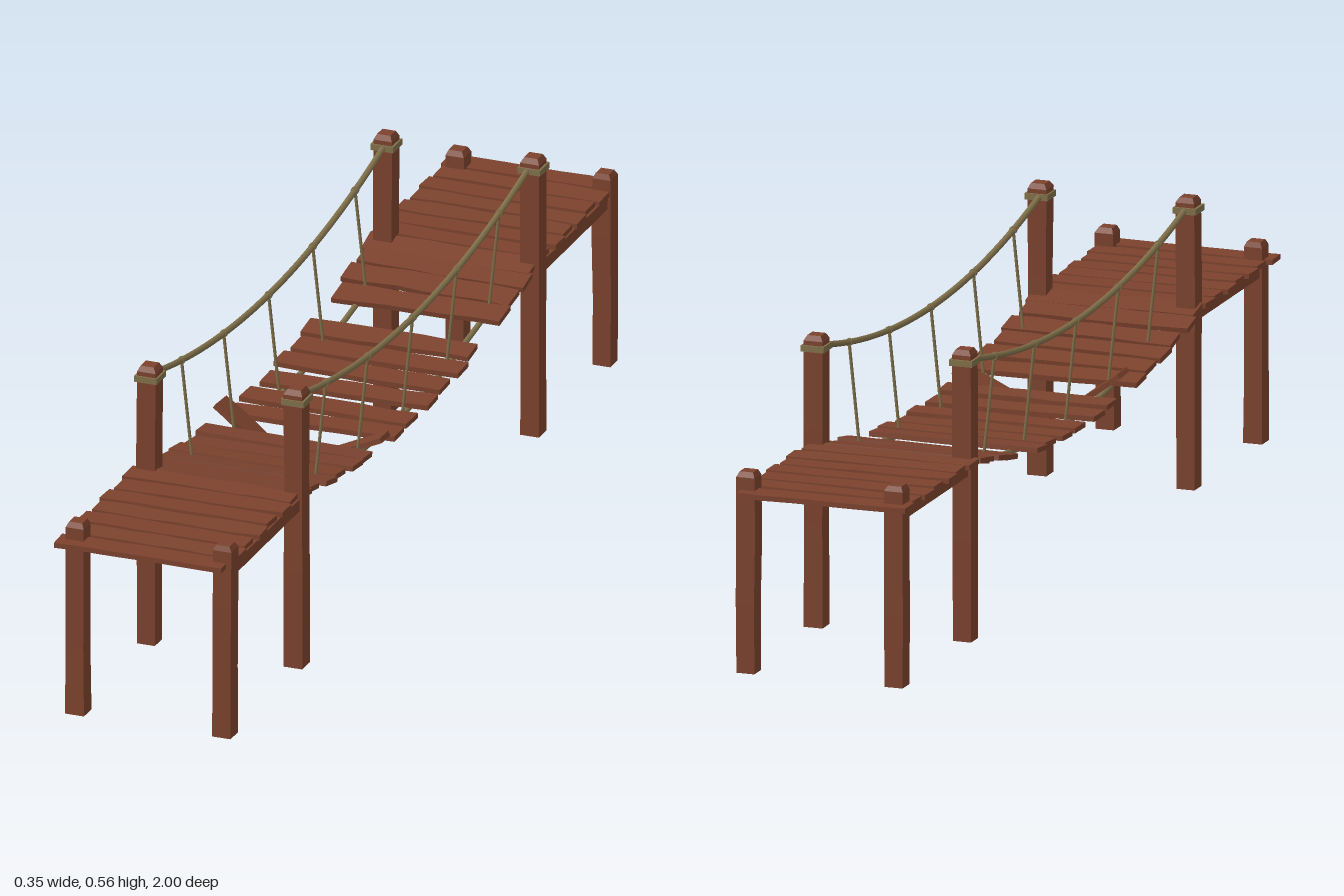
import * as THREE from 'three';

export function createModel() {
  const model = new THREE.Group();
  const wood = new THREE.MeshStandardMaterial({ color: 0x7b422d, flatShading: true });
  wood.name = 'reddish brown wood';
  const rope = new THREE.MeshStandardMaterial({ color: 0x80704a });
  rope.name = 'tan rope';

  let seed = 7;
  const rand = (a, b) => {
    seed = (seed * 16807) % 2147483647;
    return a + (b - a) * (seed / 2147483647);
  };

  const add = (name, geometry, material, x = 0, y = 0, z = 0, parent = model) => {
    const mesh = new THREE.Mesh(geometry, material);
    mesh.name = name;
    mesh.position.set(x, y, z);
    parent.add(mesh);
    return mesh;
  };

  // Rough-hewn square post with a bevelled top
  function post(name, x, z, height) {
    const levels = [0, height * 0.35, height * 0.68, height - 0.01, height];
    const g = new THREE.BoxGeometry(0.037, 4, 0.037, 1, 4, 1);
    const p = g.attributes.position;
    const offset = levels.map(() => [rand(-0.001, 0.001), rand(-0.001, 0.001), rand(0.96, 1.04)]);
    offset[4] = [0, 0, 0.72];
    for (let i = 0; i < p.count; i++) {
      const k = Math.round(p.getY(i) + 2);
      const [dx, dz, s] = offset[k];
      p.setXYZ(i, p.getX(i) * s + dx, levels[k], p.getZ(i) * s + dz);
    }
    g.computeVertexNormals();
    add(name, g, wood, x, 0, z);
  }

  // Flat board with uneven long edges and slightly skewed ends
  const THICK = 0.01;
  function plankGeometry(x0, x1, width, jagged = 0) {
    const near = [], far = [];
    const steps = 6;
    for (let i = 0; i <= steps; i++) {
      const x = x0 + ((x1 - x0) * i) / steps;
      near.push(new THREE.Vector2(x, -width / 2 + rand(-0.003, 0.003)));
      far.push(new THREE.Vector2(x + (i % steps ? 0 : rand(-0.002, 0.002)), width / 2 + rand(-0.003, 0.003)));
    }
    const outline = [...near];
    // Splintered end on broken boards
    if (jagged > 0) outline.push(new THREE.Vector2(x1 - 0.012, -0.006), new THREE.Vector2(x1 + 0.004, 0.008));
    outline.push(...far.reverse());
    if (jagged < 0) outline.push(new THREE.Vector2(x0 + 0.012, 0.008), new THREE.Vector2(x0 - 0.004, -0.006));
    const g = new THREE.ExtrudeGeometry(new THREE.Shape(outline), { depth: THICK, bevelEnabled: false });
    g.translate(0, 0, -THICK / 2);
    g.rotateX(-Math.PI / 2);
    return g;
  }

  // Alternating boards overhang one side, then the other
  const ends = (i) => (i % 2 ? [-0.17, 0.168] : [-0.177, 0.161]);

  const POST_X = [-0.145, 0.152];
  const TOWER_Z = 0.595;
  const sag = (z, low, high) => low + (high - low) * (z / TOWER_Z) ** 2;
  const deckY = (z) => sag(z, 0.278, 0.35);
  const floorRopeY = (z) => sag(z, 0.269, 0.343);
  const handRopeY = (z) => sag(z, 0.47, 0.545);

  // End platforms
  for (const end of [-1, 1]) {
    for (const x of POST_X) {
      post('tallPost', x, end * TOWER_Z, 0.565);
      post('shortPost', x, end * 0.955, 0.39);
      add('platformBeam', new THREE.BoxGeometry(0.026, 0.024, 0.37), wood, x, 0.334, end * 0.775);
      // Rope lashing: two stacked square coils around the post
      for (const y of [0.5375, 0.5435]) {
        add('ropeLashing', new THREE.BoxGeometry(0.046, 0.006, 0.046), rope, x, y, end * TOWER_Z);
      }
    }
    for (let i = 0; i < 7; i++) {
      const z = end * (0.974 - i * 0.0575);
      const board = add('platformPlank', plankGeometry(...ends(i), 0.048), wood, 0, 0.351, z);
      board.rotation.y = i ? rand(-0.012, 0.012) : 0;
      board.rotation.x = rand(-0.03, 0.03);
      board.rotation.z = rand(-0.006, 0.006);
    }
  }

  // Hanging deck, with a missing board toward the back
  const deckZ = [-0.575, -0.53, -0.473, -0.408, -0.27, -0.2, -0.13, -0.05,
    0.04, 0.12, 0.26, 0.33, 0.395, 0.46, 0.528, 0.58];
  deckZ.forEach((z, i) => {
    const board = add('deckPlank', plankGeometry(...ends(i), 0.054), wood, 0, deckY(z), z);
    const slope = (2 * z * 0.072) / TOWER_Z ** 2;
    board.rotation.set(-slope + rand(-0.03, 0.03), rand(-0.015, 0.015), rand(-0.012, 0.012));
  });

  // Snapped board, both halves drooping from the floor ropes
  const leftover = [
    { name: 'brokenPlankShort', length: 0.135, x: -0.113, y: 0.284, tilt: -0.64, jagged: 1 },
    { name: 'brokenPlankLong', length: 0.208, x: 0.072, y: 0.262, tilt: 0.42, jagged: -1 },
  ];
  for (const b of leftover) {
    const half = b.length / 2;
    const board = add(b.name, plankGeometry(-half, half, 0.05, b.jagged), wood, b.x, b.y, 0.19);
    board.rotation.set(-0.05, 0, b.tilt);
  }

  // Ropes: handrail, floor rope and hangers on each side
  const sagRope = (name, x, yAt, radius) => {
    const pts = [];
    for (let i = 0; i <= 12; i++) {
      const z = -TOWER_Z + (2 * TOWER_Z * i) / 12;
      pts.push(new THREE.Vector3(x, yAt(z), z));
    }
    add(name, new THREE.TubeGeometry(new THREE.CatmullRomCurve3(pts), 32, radius, 8), rope);
  };
  for (const side of [-1, 1]) {
    const handX = side < 0 ? -0.144 : 0.147;
    const floorX = side < 0 ? -0.122 : 0.126;
    sagRope('handRope', handX, handRopeY, 0.006);
    sagRope('floorRope', floorX, floorRopeY, 0.0055);
    for (const z of [-0.435, -0.222, 0, 0.226, 0.438]) {
      const line = new THREE.LineCurve3(
        new THREE.Vector3(handX, handRopeY(z), z),
        new THREE.Vector3(floorX, floorRopeY(z), z));
      add('hangerRope', new THREE.TubeGeometry(line, 1, 0.003, 6), rope);
      // Small knot where the hanger meets the handrail
      add('hangerKnot', new THREE.CylinderGeometry(0.0075, 0.0075, 0.008, 8).rotateX(Math.PI / 2),
        rope, handX, handRopeY(z), z);
    }
  }

  return model;
}
